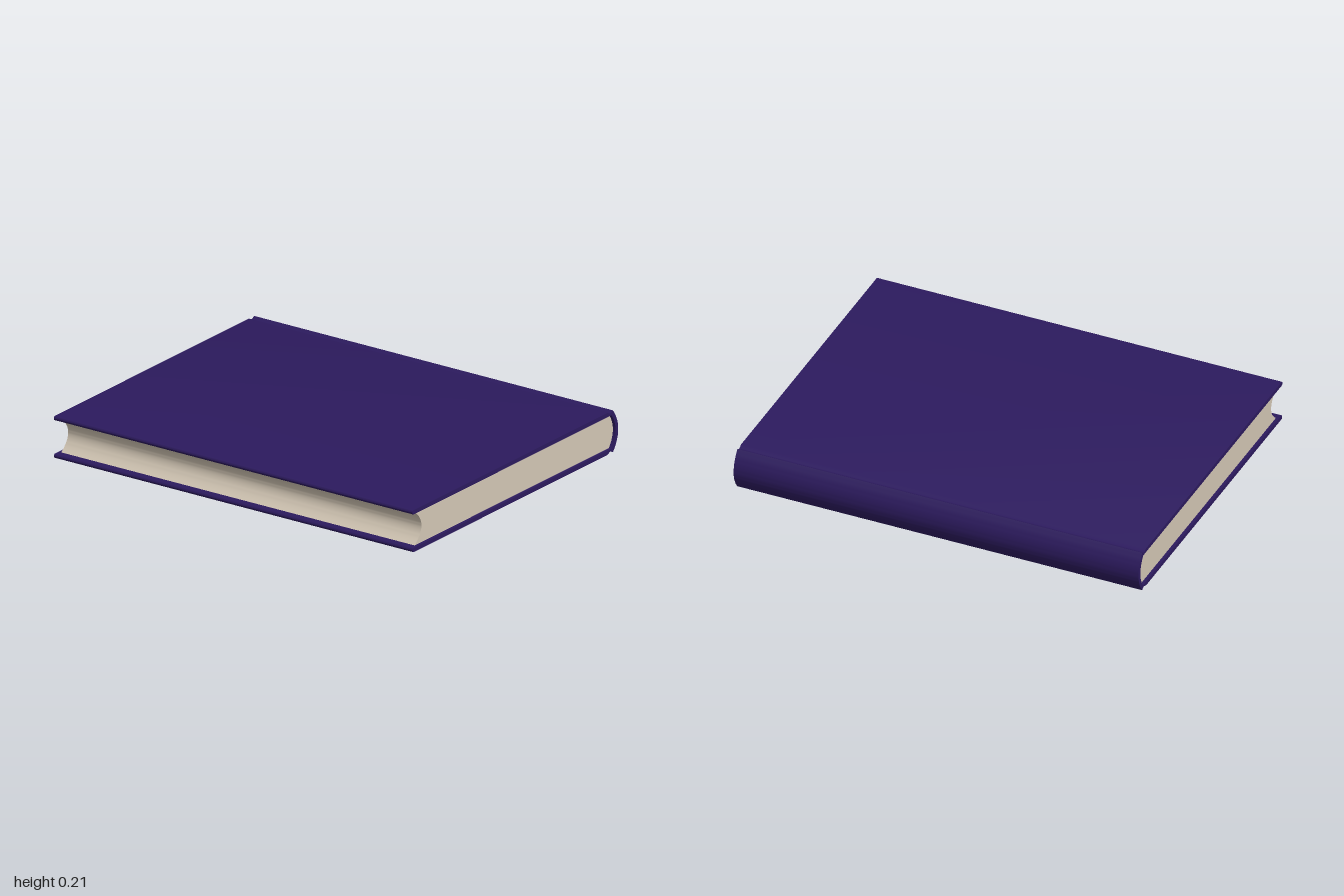
import * as THREE from 'three';
import { toCreasedNormals } from 'three/addons/utils/BufferGeometryUtils.js';

// Extrude a (z, y) profile along x, centred on x = 0
function extrudeAlongX(shape, length) {
  const geo = new THREE.ExtrudeGeometry(shape, { depth: length, bevelEnabled: false, curveSegments: 20 });
  geo.translate(0, 0, -length / 2);
  geo.rotateY(-Math.PI / 2);
  return toCreasedNormals(geo, 0.6);
}

function addPart(group, name, geo, color) {
  const mesh = new THREE.Mesh(geo, new THREE.MeshStandardMaterial({ color }));
  mesh.name = name;
  group.add(mesh);
}

export function createModel() {
  const book = new THREE.Group();
  book.name = 'book';

  const H = 0.2;       // closed thickness
  const T = 0.02;      // board thickness
  const front = 0.775; // fore edge of the boards
  const joint = -0.735; // where the boards meet the spine

  // Case: both boards, hinge grooves and rounded spine in one profile
  const cover = new THREE.Shape();
  cover.moveTo(front - 0.01, 0);
  cover.quadraticCurveTo(front, 0, front, T / 2);
  cover.quadraticCurveTo(front, T, front - 0.01, T);
  cover.lineTo(-0.725, T);
  cover.quadraticCurveTo(-0.785, H / 2, -0.725, H - T);
  cover.lineTo(front - 0.01, H - T);
  cover.quadraticCurveTo(front, H - T, front, H - T / 2);
  cover.quadraticCurveTo(front, H, front - 0.01, H);
  cover.lineTo(-0.695, H);
  cover.lineTo(-0.712, H - 0.009);
  cover.lineTo(-0.72, H - 0.009);
  cover.lineTo(joint, H);
  cover.quadraticCurveTo(-0.815, H / 2, joint, 0);
  cover.lineTo(-0.72, 0.009);
  cover.lineTo(-0.712, 0.009);
  cover.lineTo(-0.695, 0);
  cover.closePath();
  addPart(book, 'cover', extrudeAlongX(cover, 1.98), 0x2c1a5e);

  // Page block: rounded back, hollow fore edge
  const pages = new THREE.Shape();
  pages.moveTo(-0.725, T);
  pages.lineTo(0.74, T);
  pages.quadraticCurveTo(0.635, H / 2, 0.74, H - T);
  pages.lineTo(-0.725, H - T);
  pages.quadraticCurveTo(-0.785, H / 2, -0.725, T);
  addPart(book, 'pages', extrudeAlongX(pages, 1.95), 0xd2c6b4);

  // The book lies very slightly askew
  book.rotation.set(0, 0.01, 0.005);
  book.position.y = 0.005;

  const model = new THREE.Group();
  model.add(book);
  return model;
}
